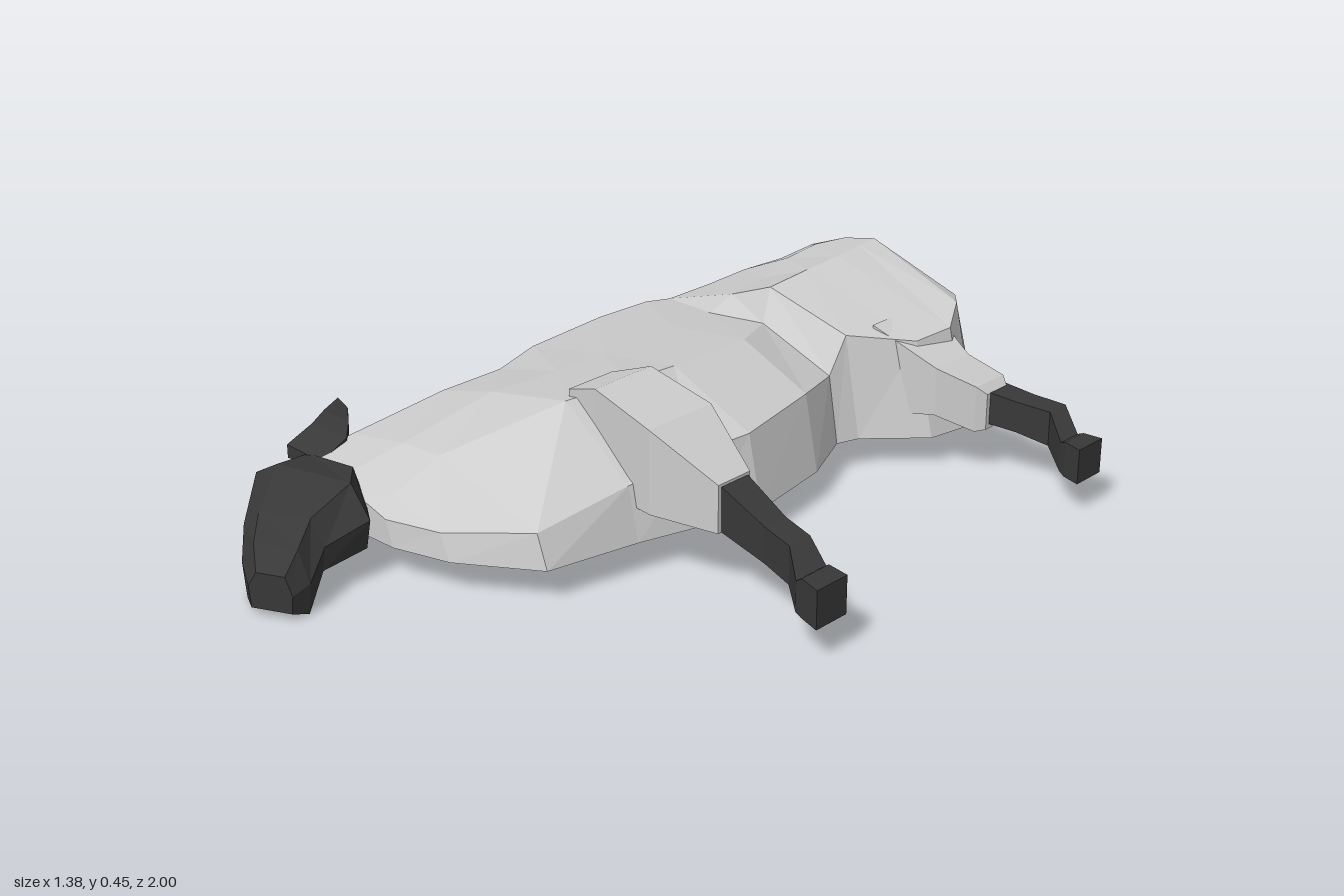
import * as THREE from 'three';

const BASE = 0.085; // height of the flat underside

// Skin a list of equal-length rings with flat faces; the strip closing each ring can use its own material.
function loft(name, rings, material, closingMaterial) {
  const main = [], closing = [];
  const n = rings[0].length;
  for (let i = 0; i < rings.length - 1; i++) {
    for (let j = 0; j < n; j++) {
      const k = (j + 1) % n;
      const a = rings[i][j], b = rings[i][k], c = rings[i + 1][k], d = rings[i + 1][j];
      (j === n - 1 ? closing : main).push([a, b, c], [a, c, d]);
    }
  }
  const first = rings[0], last = rings[rings.length - 1];
  for (let j = 1; j < n - 1; j++) {
    main.push([first[0], first[j + 1], first[j]], [last[0], last[j], last[j + 1]]);
  }
  const faces = [...main, ...closing];
  // Turn the faces outwards if the rings run the other way
  let volume = 0;
  for (const [a, b, c] of faces) volume += a.dot(b.clone().cross(c));
  const points = faces.flatMap((f) => (volume < 0 ? [f[0], f[2], f[1]] : f));
  const geometry = new THREE.BufferGeometry().setFromPoints(points);
  geometry.addGroup(0, main.length * 3, 0);
  geometry.addGroup(main.length * 3, closing.length * 3, 1);
  geometry.computeVertexNormals();
  const mesh = new THREE.Mesh(geometry, [material, closingMaterial || material]);
  mesh.name = name;
  return mesh;
}

const v = (x, y, z) => new THREE.Vector3(x, y, z);

// Body section: z, base left, ridge, two crown points, ridge, base right
const bodyRing = ([z, bl, lx, ly, ax, ay, bx, by, rx, ry, br]) => [
  v(bl, BASE, z), v(lx, ly, z), v(ax, ay, z), v(bx, by, z), v(rx, ry, z), v(br, BASE, z),
];

// Limb section: x, z range, y range
const limbRing = ([x, z0, z1, y0, y1]) => [v(x, y0, z0), v(x, y1, z0), v(x, y1, z1), v(x, y0, z1)];

// Head section: two side points in plan, bottom height, top heights at each side
const headRing = ([x0, z0, x1, z1, yb, yt0, yt1]) => {
  const at = (t, y) => v(x0 + (x1 - x0) * t, y, z0 + (z1 - z0) * t);
  return [
    at(0.04, yb), at(0, yb + (yt0 - yb) * 0.6), at(0.2, yt0),
    at(0.85, yt1), at(1, yb + (yt1 - yb) * 0.5), at(0.96, yb),
  ];
};

export function createModel() {
  const wool = new THREE.MeshStandardMaterial({ color: 0xcccccc, flatShading: true });
  wool.name = 'wool';
  const dark = new THREE.MeshStandardMaterial({ color: 0x383838, flatShading: true });
  dark.name = 'dark skin';
  const model = new THREE.Group();
  model.name = 'lyingSheep';

  // Rounded haunch, ending in the groove before the belly
  const groove = [-0.46, -0.59, -0.55, 0.29, -0.32, 0.32, -0.14, 0.34, 0.08, 0.26, 0.11];
  const haunch = [
    [-1.0, -0.25, -0.24, 0.24, -0.2, 0.26, -0.15, 0.26, -0.09, 0.24, -0.07],
    [-0.965, -0.34, -0.31, 0.29, -0.22, 0.34, -0.12, 0.34, 0.06, 0.28, 0.11],
    [-0.91, -0.42, -0.36, 0.38, -0.25, 0.425, -0.15, 0.447, 0.12, 0.36, 0.2],
    [-0.85, -0.48, -0.42, 0.34, -0.3, 0.41, -0.15, 0.443, 0.17, 0.37, 0.24],
    [-0.76, -0.53, -0.47, 0.32, -0.32, 0.39, -0.15, 0.437, 0.22, 0.34, 0.28],
    [-0.65, -0.56, -0.5, 0.3, -0.3, 0.37, -0.16, 0.427, 0.2, 0.33, 0.26],
    [-0.52, -0.59, -0.52, 0.29, -0.3, 0.36, -0.17, 0.413, 0.08, 0.35, 0.13],
    groove,
  ];
  model.add(loft('haunch', haunch.map(bodyRing), wool));

  // Belly, chest and neck
  const torso = [
    groove,
    [-0.3, -0.59, -0.56, 0.29, -0.3, 0.335, -0.06, 0.365, 0.14, 0.28, 0.18],
    [-0.05, -0.59, -0.55, 0.285, -0.3, 0.335, -0.06, 0.372, 0.18, 0.27, 0.22],
    [0.1, -0.53, -0.51, 0.28, -0.3, 0.335, -0.06, 0.38, 0.15, 0.26, 0.18],
    [0.27, -0.56, -0.53, 0.27, -0.35, 0.32, -0.1, 0.37, 0.1, 0.22, 0.13],
    [0.51, -0.63, -0.58, 0.22, -0.4, 0.25, -0.27, 0.26, 0.05, 0.17, 0.08],
    [0.63, -0.67, -0.63, 0.18, -0.45, 0.2, -0.3, 0.19, -0.14, 0.15, -0.11],
    [0.67, -0.66, -0.62, 0.17, -0.45, 0.18, -0.38, 0.18, -0.28, 0.15, -0.26],
  ];
  model.add(loft('torso', torso.map(bodyRing), wool));

  // Woolly upper legs and bare lower legs
  const limbs = {
    shoulder: [wool, [
      [-0.12, 0.1, 0.24, 0.2, 0.385], [-0.03, 0.06, 0.245, 0.17, 0.413],
      [0.16, 0.06, 0.265, 0.165, 0.375], [0.325, 0.11, 0.215, 0.155, 0.275],
    ]],
    frontLeg: [dark, [
      [0.31, 0.115, 0.205, 0.16, 0.275], [0.45, 0.13, 0.2, 0.12, 0.21],
      [0.53, 0.14, 0.21, 0.1, 0.195], [0.61, 0.18, 0.28, 0.09, 0.165],
      [0.63, 0.195, 0.285, 0.085, 0.18], [0.69, 0.205, 0.305, 0.085, 0.18],
    ]],
    thigh: [wool, [
      [0.1, -0.82, -0.6, 0.13, 0.36], [0.28, -0.76, -0.63, 0.16, 0.285],
      [0.36, -0.8, -0.69, 0.12, 0.24], [0.38, -0.79, -0.71, 0.125, 0.22],
    ]],
    hindLeg: [dark, [
      [0.35, -0.795, -0.715, 0.14, 0.225], [0.45, -0.81, -0.74, 0.13, 0.21],
      [0.53, -0.83, -0.765, 0.11, 0.2], [0.61, -0.77, -0.7, 0.09, 0.165],
      [0.63, -0.765, -0.69, 0.085, 0.175], [0.68, -0.77, -0.675, 0.085, 0.175],
    ]],
  };
  for (const [name, [material, sections]] of Object.entries(limbs)) {
    model.add(loft(name, sections.map(limbRing), material));
  }

  // Head turned aside, with the muzzle drooping forward
  const head = [
    [-0.68, 0.61, -0.38, 0.645, BASE, 0.19, 0.225],
    [-0.69, 0.72, -0.285, 0.71, BASE, 0.2, 0.235],
    [-0.53, 0.88, -0.3, 0.83, 0.07, 0.17, 0.195],
    [-0.45, 0.95, -0.27, 0.9, 0.0, 0.145, 0.155],
    [-0.37, 0.995, -0.27, 0.95, 0.02, 0.11, 0.11],
  ];
  model.add(loft('head', head.map(headRing), dark, wool));

  // Ear pointing back over the neck
  const ear = [
    [-0.67, 0.64, -0.57, 0.62, 0.17, 0.205], [-0.66, 0.57, -0.57, 0.54, 0.19, 0.24],
    [-0.675, 0.52, -0.61, 0.5, 0.21, 0.255], [-0.69, 0.465, -0.66, 0.46, 0.23, 0.265],
  ].map(([x0, z0, x1, z1, y0, y1]) => [v(x0, y0, z0), v(x0, y1, z0), v(x1, y1 - 0.02, z1), v(x1, y0, z1)]);
  model.add(loft('ear', ear, dark));

  return model;
}
